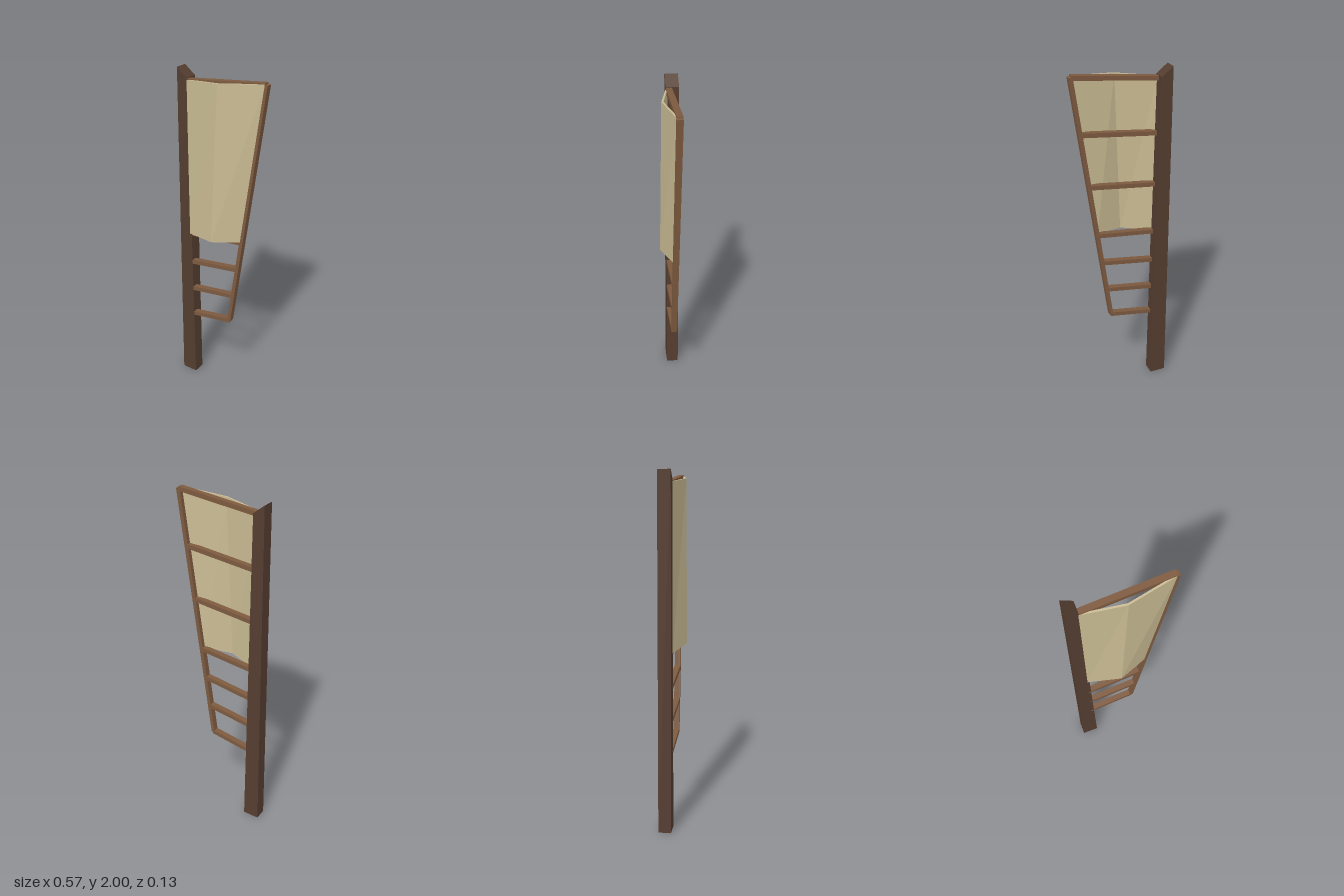
import * as THREE from 'three';

const postMat = new THREE.MeshStandardMaterial({ color: 0x543d30, name: 'darkWood', flatShading: true });
const frameMat = new THREE.MeshStandardMaterial({ color: 0x7d5a3f, name: 'lightWood', flatShading: true });
const clothMat = new THREE.MeshStandardMaterial({ color: 0xc9bb93, name: 'canvas', flatShading: true });

const FRONT = 0.007;

function addMesh(group, name, geometry, material) {
  const mesh = new THREE.Mesh(geometry, material);
  mesh.name = name;
  group.add(mesh);
}

// Rectangular bar between two points in the frame plane
function bar(x0, y0, x1, y1, width, depth) {
  const geo = new THREE.BoxGeometry(Math.hypot(x1 - x0, y1 - y0), width, depth);
  geo.rotateZ(Math.atan2(y1 - y0, x1 - x0));
  geo.translate((x0 + x1) / 2, (y0 + y1) / 2, FRONT - depth / 2);
  return geo;
}

// Folded sheet with thickness, from matching top and bottom edge points
function foldedSheet(top, bottom, thickness) {
  const pos = [];
  const quad = (a, b, c, d) => pos.push(...a, ...b, ...c, ...a, ...c, ...d);
  const back = ([x, y, z]) => [x, y, z - thickness];
  for (let i = 0; i < top.length - 1; i++) {
    const [a, b, c, d] = [bottom[i], bottom[i + 1], top[i + 1], top[i]];
    quad(a, b, c, d);
    quad(back(b), back(a), back(d), back(c));
    quad(d, c, back(c), back(d));
    quad(b, a, back(a), back(b));
  }
  const n = top.length - 1;
  quad(back(bottom[0]), bottom[0], top[0], back(top[0]));
  quad(bottom[n], back(bottom[n]), back(top[n]), top[n]);
  const geo = new THREE.BufferGeometry();
  geo.setAttribute('position', new THREE.Float32BufferAttribute(pos, 3));
  geo.computeVertexNormals();
  return geo;
}

export function createModel() {
  const model = new THREE.Group();
  model.name = 'ladderSail';

  // Tapered post with a slanted top
  const profile = new THREE.Shape([
    new THREE.Vector2(-0.285, 0), new THREE.Vector2(-0.188, 0),
    new THREE.Vector2(-0.207, 1.95), new THREE.Vector2(-0.271, 2),
  ]);
  const post = new THREE.ExtrudeGeometry(profile, { depth: 0.072, bevelEnabled: false });
  post.translate(0, 0, FRONT - 0.072);
  addMesh(model, 'post', post, postMat);

  // Leaning outer beam
  addMesh(model, 'outerBeam', bar(0.065, 0.5, 0.273, 1.99, 0.022, 0.034), frameMat);

  // Rungs: height at the post, height at the beam, beam x
  const rungs = [
    [0.455, 0.502, 0.067], [0.64, 0.686, 0.09], [0.828, 0.876, 0.116], [1.022, 1.062, 0.142],
    [1.325, 1.37, 0.186], [1.63, 1.678, 0.229], [1.933, 1.987, 0.27],
  ];
  rungs.forEach(([y0, y1, x1], i) => {
    addMesh(model, `rung${i + 1}`, bar(-0.21, y0, x1, y1, 0.025, 0.034), frameMat);
  });

  // Canvas panel with a central fold bulging forward
  const top = [[-0.21, 1.94, FRONT], [0.015, 1.967, 0.052], [0.268, 1.993, FRONT]];
  const bottom = [[-0.21, 1.02, FRONT], [-0.022, 1.046, 0.063], [0.137, 1.067, FRONT]];
  addMesh(model, 'canvasPanel', foldedSheet(top, bottom, 0.011), clothMat);

  return model;
}
